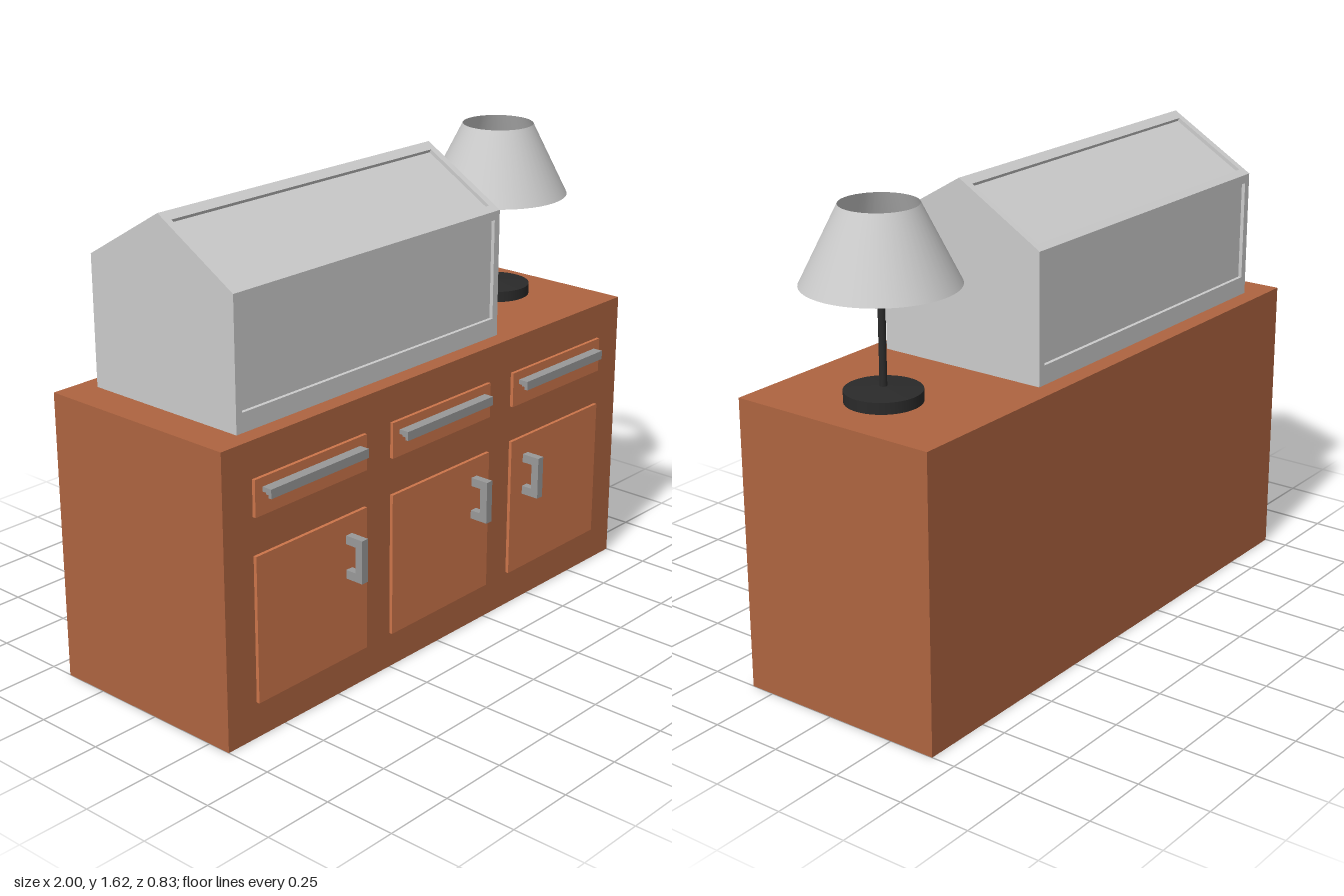
import * as THREE from 'three';

const mat = (color, side = THREE.FrontSide) => new THREE.MeshStandardMaterial({ color, side });

function add(parent, name, geometry, material, x = 0, y = 0, z = 0) {
  const mesh = new THREE.Mesh(geometry, material);
  mesh.name = name;
  mesh.position.set(x, y, z);
  parent.add(mesh);
  return mesh;
}

function group(parent, name, x = 0, y = 0, z = 0) {
  const g = new THREE.Group();
  g.name = name;
  g.position.set(x, y, z);
  parent.add(g);
  return g;
}

const polygon = (pts, Type = THREE.Shape) => new Type(pts.map(([x, y]) => new THREE.Vector2(x, y)));
const rect = (x0, y0, x1, y1) => [[x0, y0], [x1, y0], [x1, y1], [x0, y1]];

function extrude(outline, depth, holes = []) {
  const shape = polygon(outline);
  shape.holes = holes.map((h) => polygon(h, THREE.Path));
  return new THREE.ExtrudeGeometry(shape, { depth, bevelEnabled: false });
}

// Extruded outline given as (z, y) points, running along x and centred on it
function extrudeAlongX(outline, length, holes = []) {
  const flip = (pts) => pts.map(([z, y]) => [-z, y]);
  return extrude(flip(outline), length, holes.map(flip))
    .translate(0, 0, -length / 2)
    .rotateY(Math.PI / 2);
}

export function createModel() {
  const model = new THREE.Group();
  model.name = 'sideboardWithLampAndCase';
  const wood = mat(0xae6440);
  const panelWood = mat(0xcc754a);
  const metal = mat(0x999999);
  const grey = mat(0xcccccc);
  const black = mat(0x2a2a2a);

  // Sideboard
  const sideboard = group(model, 'sideboard');
  add(sideboard, 'cabinetBody', new THREE.BoxGeometry(2, 1, 0.75), wood, 0, 0.5, -0.04);

  const front = 0.335;
  const face = 0.347;
  const drawerPull = extrudeAlongX(
    [[face, 0.83], [0.36, 0.83], [0.36, 0.825], [0.371, 0.825], [0.371, 0.815],
      [0.383, 0.815], [0.383, 0.846], [face, 0.846]], 0.436);
  const doorPull = extrudeAlongX(
    [[face, 0.41], [0.415, 0.41], [0.415, 0.56], [face, 0.56],
      [face, 0.53], [0.386, 0.53], [0.386, 0.44], [face, 0.44]], 0.028);

  [[-0.625, 0.165], [0, 0.17], [0.625, -0.17]].forEach(([x, pullX]) => {
    const bay = group(sideboard, 'cabinetBay', x);
    add(bay, 'door', new THREE.BoxGeometry(0.5, 0.5, face - front), panelWood, 0, 0.375, (front + face) / 2);
    add(bay, 'drawerFront', new THREE.BoxGeometry(0.5, 0.123, face - front), panelWood, 0, 0.815, (front + face) / 2);
    add(bay, 'drawerHandle', drawerPull, metal);
    add(bay, 'doorHandle', doorPull, metal, pullX);
  });

  // Gabled case with recessed panels
  const d = 0.013;
  const length = 1.245;
  const half = 0.3125;
  const eave = 0.44;
  const ridge = 0.625;
  const house = group(model, 'gabledCase', -0.2525, 1, -0.0385);
  const pentagon = (w, e, r) => [[-w, 0], [w, 0], [w, e], [0, r], [-w, e]];
  add(house, 'recessedPanels', extrudeAlongX(pentagon(half - d, eave - d / 2, ridge - d * 1.16), length - 2 * d), grey);

  const endFrame = extrudeAlongX(pentagon(half, eave, ridge), d,
    [rect(-0.283, 0.065, 0.283, 0.41), [[-0.24, eave], [0.24, eave], [0, 0.585]]]);
  for (const s of [-1, 1]) add(house, 'endFrame', endFrame, grey, s * (length - d) / 2);

  const slope = Math.hypot(half, ridge - eave);
  const pitch = Math.atan2(half, ridge - eave);
  const hx = length / 2 - d;
  const wx = length / 2 - 0.026;
  const wallFrame = extrude(rect(-hx, 0, hx, eave), d, [rect(-wx, 0.065, wx, 0.41)]).translate(0, 0, -d);
  const roofFrame = extrude(rect(-hx, 0, hx, slope), d, [rect(-wx, 0.03, wx, slope - 0.038)]).translate(0, 0, -d);
  for (const turn of [0, Math.PI]) {
    const side = group(house, turn ? 'backSide' : 'frontSide');
    side.rotation.y = turn;
    add(side, 'wallFrame', wallFrame, grey, 0, 0, half);
    add(side, 'roofFrame', roofFrame, grey, 0, eave, half).rotation.x = -pitch;
  }

  // Table lamp
  const lamp = group(model, 'tableLamp', 0.75, 1, -0.0385);
  add(lamp, 'lampBase', new THREE.CylinderGeometry(0.125, 0.125, 0.038, 48), black, 0, 0.019);
  add(lamp, 'lampBaseTop', new THREE.ConeGeometry(0.125, 0.012, 48), black, 0, 0.044);
  add(lamp, 'lampPole', new THREE.CylinderGeometry(0.012, 0.012, 0.36, 20), black, 0, 0.22);

  const bulbProfile = [[0, 0.39], [0.018, 0.39], [0.019, 0.415], [0.028, 0.437]];
  for (let i = 0; i <= 10; i++) {
    const a = -0.5 + (i / 10) * (Math.PI / 2 + 0.5);
    bulbProfile.push([Math.max(0, 0.041 * Math.cos(a)), 0.465 + 0.041 * Math.sin(a)]);
  }
  add(lamp, 'bulb', new THREE.LatheGeometry(bulbProfile.map(([x, y]) => new THREE.Vector2(x, y)), 24), grey);
  add(lamp, 'lampShade', new THREE.CylinderGeometry(0.125, 0.25, 0.25, 48, 1, true),
    mat(0xcccccc, THREE.DoubleSide), 0, 0.5);

  return model;
}
